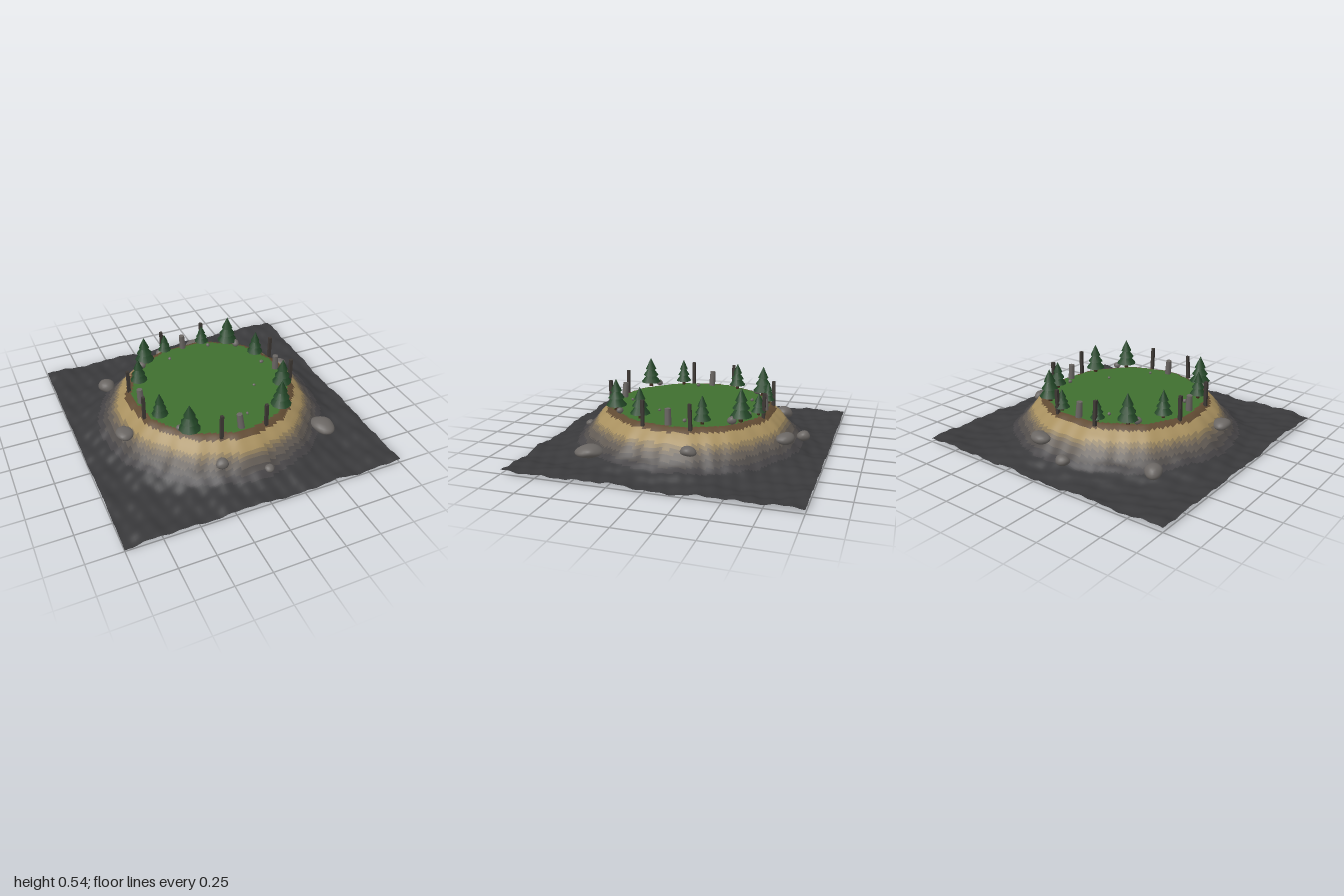
import * as THREE from 'three';
import { mergeVertices } from 'three/addons/utils/BufferGeometryUtils.js';

const mat = (color, extra = {}) => new THREE.MeshStandardMaterial({ color, ...extra });
const TOP = 0.305;

function add(parent, name, geometry, material, x = 0, y = 0, z = 0) {
  const mesh = new THREE.Mesh(geometry, material);
  mesh.name = name;
  mesh.position.set(x, y, z);
  parent.add(mesh);
  return mesh;
}

// smooth repeatable bumps, roughly -1..1
const bumps = (x, z) =>
  0.4 * Math.sin(7.1 * x + 2.3 * z + 1) * Math.cos(6.3 * z - 2.9 * x) +
  0.35 * Math.sin(17 * x - 9 * z + 2) * Math.cos(15 * z + 6 * x + 0.5) +
  0.25 * Math.sin(37 * x + 21 * z) * Math.cos(33 * z - 18 * x + 1.3);

// radius with a slightly wavy outline
function hillRadius(x, z) {
  const a = Math.atan2(z, x);
  return Math.hypot(x, z) + 0.008 * Math.sin(3 * a + 1) + 0.006 * Math.sin(11 * a) + 0.003 * Math.sin(29 * a);
}

// hill section: radius, height
const PROFILE = [[0, TOP], [0.57, TOP], [0.61, 0.28], [0.66, 0.235], [0.71, 0.175],
  [0.76, 0.115], [0.82, 0.075], [0.9, 0.047], [1, 0.035], [2, 0.035]];

function groundHeight(x, z) {
  const r = hillRadius(x, z);
  const i = PROFILE.findIndex(p => p[0] > r);
  const [r0, y0] = PROFILE[i - 1], [r1, y1] = PROFILE[i];
  const rough = THREE.MathUtils.smoothstep(r, 0.58, 0.88);
  return y0 + (y1 - y0) * (r - r0) / (r1 - r0) + 0.027 * rough * bumps(x, z);
}

// one height field, split into colour bands by radius
function buildTerrain(group) {
  const N = 120;
  const geo = new THREE.PlaneGeometry(2, 2, N, N).rotateX(-Math.PI / 2);
  const pos = geo.attributes.position;
  for (let i = 0; i < pos.count; i++) pos.setY(i, groundHeight(pos.getX(i), pos.getZ(i)));
  geo.computeBoundingBox();
  geo.translate(0, -geo.boundingBox.min.y, 0);
  geo.computeVertexNormals();

  const bands = [
    ['grass', 0.56, 0x3f6f2f], ['soilRim', 0.61, 0x604a32], ['sandSlope', 0.675, 0xa8905f],
    ['upperScree', 0.695, 0x8d7b59], ['middleScree', 0.715, 0x756958], ['lowerScree', 0.745, 0x625b54],
    ['hillFoot', 0.78, 0x504c4a], ['hillSkirt', 0.82, 0x444244], ['rockyGround', 9, 0x39393b],
  ].map(([name, limit, color]) => ({ name, limit, color, index: [] }));
  const idx = geo.index;
  for (let i = 0; i < idx.count; i += 6) {
    const corners = [0, 1, 2, 3, 4, 5].map(k => idx.getX(i + k));
    const cx = corners.reduce((s, v) => s + pos.getX(v), 0) / 6;
    const cz = corners.reduce((s, v) => s + pos.getZ(v), 0) / 6;
    const r = hillRadius(cx, cz);
    bands.find(b => r < b.limit).index.push(...corners);
  }
  for (const b of bands) {
    const part = new THREE.BufferGeometry();
    part.setAttribute('position', pos);
    part.setAttribute('normal', geo.attributes.normal);
    part.setIndex(b.index);
    add(group, b.name, part, mat(b.color, { side: THREE.DoubleSide }));
  }
}

// rounded lumpy stone of unit radius
function stoneGeometry(seed) {
  let geo = new THREE.IcosahedronGeometry(1, 3);
  geo.deleteAttribute('uv');
  geo.deleteAttribute('normal');
  geo = mergeVertices(geo);
  const p = geo.attributes.position, v = new THREE.Vector3();
  for (let i = 0; i < p.count; i++) {
    v.fromBufferAttribute(p, i);
    const k = 1 + 0.1 * Math.sin(2.3 * v.x + seed * 1.7) + 0.08 * Math.sin(3.1 * v.z - seed) * Math.cos(2.7 * v.y + seed);
    p.setXYZ(i, v.x * k, v.y * k, v.z * k);
  }
  geo.computeVertexNormals();
  return geo;
}

// pine: trunk and three overlapping cones
function buildTree(group, x, z, height, radius) {
  const tree = new THREE.Group();
  tree.name = 'pineTree';
  tree.position.set(x, TOP - 0.005, z);
  const bark = mat(0x3d2a1c), needles = mat(0x224526);
  add(tree, 'trunk', new THREE.CylinderGeometry(radius * 0.14, radius * 0.2, height * 0.4, 8), bark, 0, height * 0.2, 0);
  [[0.16, 0.42, 1], [0.4, 0.35, 0.78], [0.62, 0.38, 0.54]].forEach(([y, h, r]) =>
    add(tree, 'branches', new THREE.ConeGeometry(radius * r, height * h, 10), needles, 0, height * (y + h / 2), 0));
  tree.rotation.y = x * 7 + z * 3;
  group.add(tree);
}

export function createModel() {
  const model = new THREE.Group();
  model.name = 'hilltopArena';
  buildTerrain(model);

  // ring of trees
  [[-0.345, -0.45, 0.22, 0.072], [0.34, -0.45, 0.235, 0.076], [-0.345, 0.45, 0.225, 0.076], [0.34, 0.45, 0.225, 0.074],
    [-0.47, -0.22, 0.2, 0.062], [0.47, -0.22, 0.2, 0.06], [-0.47, 0.22, 0.2, 0.058], [0.47, 0.22, 0.22, 0.07],
    [-0.155, -0.53, 0.155, 0.05], [0.155, -0.53, 0.155, 0.053]].forEach(t => buildTree(model, ...t));

  // weathered posts in pairs on each side
  const postMat = mat(0x3d3834);
  for (let side = 0; side < 4; side++) {
    for (const s of [-1, 1]) {
      const p = new THREE.Vector3(0.165 * s, 0, 0.567).applyAxisAngle(new THREE.Object3D().up, side * Math.PI / 2);
      const post = add(model, 'post', new THREE.BoxGeometry(0.022, 0.18, 0.022), postMat, p.x, 0.37, p.z);
      post.rotation.set(0.03 * s, side * Math.PI / 2, 0.03 * Math.sin(side * 2 + s));
    }
  }

  // leaning standing stones
  const stoneMat = mat(0x6a6663);
  [[-0.01, 0.53, 0.12], [0.53, 0, 0.06], [-0.535, 0, -0.1], [-0.005, -0.54, -0.08]].forEach(([x, z, tilt], i) => {
    const stone = add(model, 'standingStone', new THREE.CylinderGeometry(0.021, 0.025, 0.12, 7), stoneMat, x, 0.345, z);
    stone.rotation.set(-tilt / 2, i, tilt);
  });

  // rocks and pebbles on the grass
  [[-0.39, -0.4, 0.028], [0.39, -0.4, 0.028], [-0.395, 0.4, 0.025], [0.395, 0.4, 0.025],
    [-0.16, -0.41, 0.012], [0.185, -0.47, 0.015], [0.465, -0.095, 0.015], [0.28, 0.15, 0.01],
    [0.09, 0.43, 0.01], [-0.44, 0.09, 0.015]].forEach(([x, z, r], i) => {
    const rock = add(model, 'rock', stoneGeometry(i), stoneMat, x, TOP + r * 0.5, z);
    rock.scale.set(r, r * 0.9, r);
  });

  // boulders on the slope: x, y, z, half sizes, turn
  [[0.66, 0.09, 0.52, 0.08, 0.042, 0.092, 0.3], [-0.71, 0.185, 0.15, 0.056, 0.038, 0.082, 0.1],
    [-0.22, 0.17, 0.69, 0.042, 0.04, 0.038, 0], [0.09, 0.095, 0.78, 0.035, 0.022, 0.03, 0],
    [0.69, 0.18, -0.19, 0.038, 0.034, 0.055, 0], [0.185, 0.16, -0.73, 0.076, 0.042, 0.066, -0.3],
    [-0.09, 0.1, -0.81, 0.05, 0.035, 0.044, 0], [-0.63, 0.09, -0.565, 0.062, 0.045, 0.065, 0.5],
  ].forEach(([x, y, z, sx, sy, sz, turn], i) => {
    const boulder = add(model, 'boulder', stoneGeometry(i + 20), stoneMat, x, y, z);
    boulder.scale.set(sx, sy, sz);
    boulder.rotation.y = turn;
  });
  return model;
}
